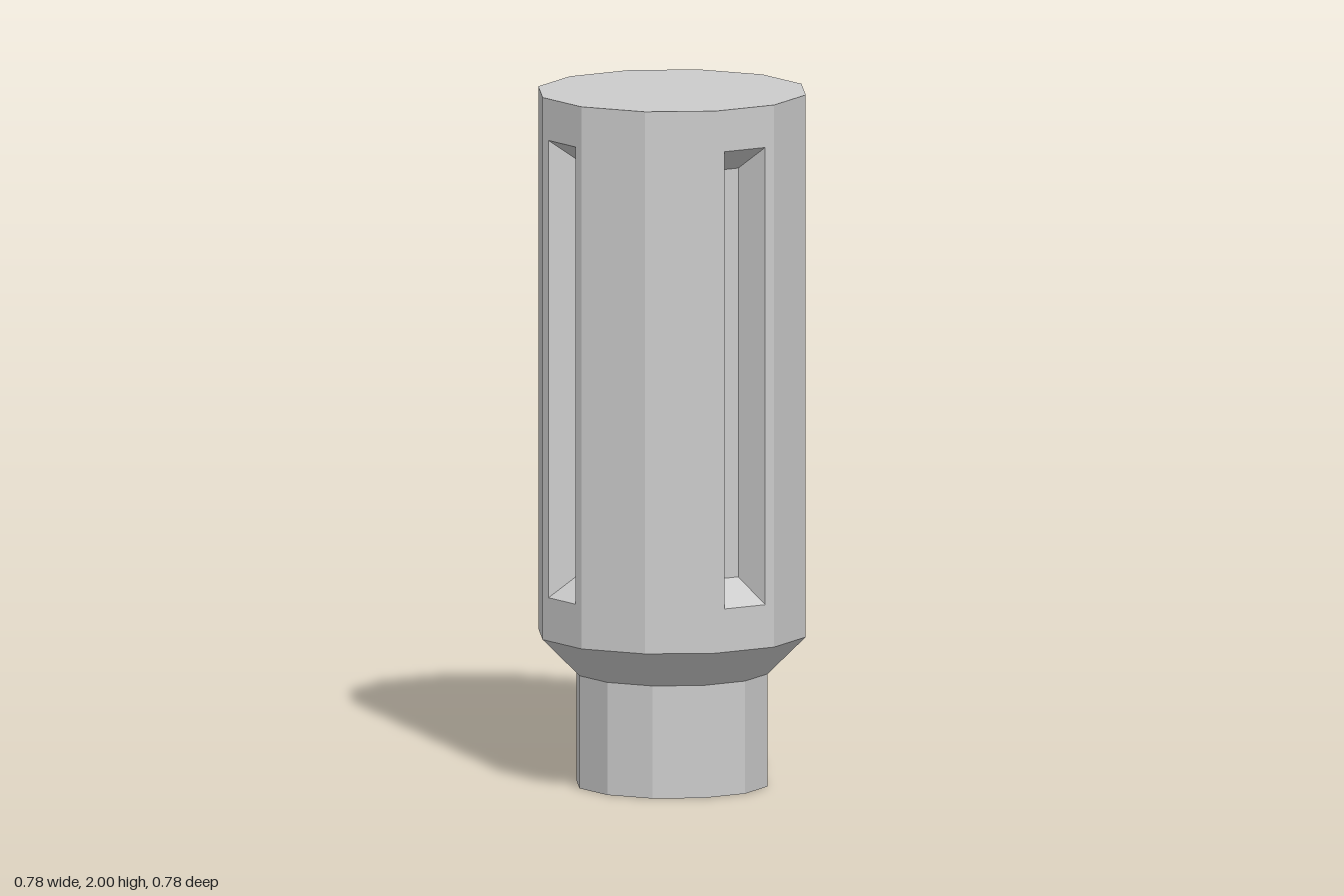
import * as THREE from 'three';

const SIDES = 12;
const R = 0.389, NECK_R = 0.278;
const NECK_TOP = 0.325, BODY_BOTTOM = 0.435, TOP = 2;
const APOTHEM = R * Math.cos(Math.PI / SIDES);
const HALF = R * Math.sin(Math.PI / SIDES);

// Slot: rectangle on the panel, narrowing to a smaller recessed floor
const OUTER = { w: 0.07, y0: 0.56, y1: 1.88, z: 0 };
const INNER = { w: 0.042, y0: 0.63, y1: 1.81, z: -0.097 };

const material = new THREE.MeshStandardMaterial({ color: 0xcccccc, flatShading: true });

function add(parent, name, geometry) {
  const mesh = new THREE.Mesh(geometry, material);
  mesh.name = name;
  parent.add(mesh);
  return mesh;
}

// Corners of a rectangle, counter-clockwise seen from outside
const corners = ({ w, y0, y1, z }) => [[-w, y0, z], [w, y0, z], [w, y1, z], [-w, y1, z]];

// Four sloping walls and the floor of a slot
function slotGeometry() {
  const o = corners(OUTER), n = corners(INNER), index = [4, 5, 6, 4, 6, 7];
  for (let i = 0; i < 4; i++) {
    const j = (i + 1) % 4;
    index.push(i, j, j + 4, i, j + 4, i + 4);
  }
  const g = new THREE.BufferGeometry();
  g.setAttribute('position', new THREE.Float32BufferAttribute([...o, ...n].flat(), 3));
  g.setIndex(index);
  const flat = g.toNonIndexed();
  flat.computeVertexNormals();
  return flat;
}

// One flat side of the body, with or without a slot opening
function panelGeometry(slotted) {
  const points = (c) => c.map(([x, y]) => new THREE.Vector2(x, y));
  const shape = new THREE.Shape(points(corners({ w: HALF, y0: BODY_BOTTOM, y1: TOP, z: 0 })));
  if (slotted) shape.holes.push(new THREE.Path(points(corners(OUTER)).reverse()));
  return new THREE.ShapeGeometry(shape);
}

export function createModel() {
  const model = new THREE.Group();
  model.name = 'slottedCylinder';

  // Narrow neck with closed underside
  const profile = [[0, 0], [NECK_R, 0], [NECK_R, NECK_TOP]].map(([x, y]) => new THREE.Vector2(x, y));
  add(model, 'neck', new THREE.LatheGeometry(profile, SIDES));

  // Flared collar between neck and body
  const collarHeight = BODY_BOTTOM - NECK_TOP;
  add(model, 'collar', new THREE.CylinderGeometry(R, NECK_R, collarHeight, SIDES, 1, true))
    .position.y = NECK_TOP + collarHeight / 2;

  // Body sides; the four diagonal ones carry a slot
  const body = new THREE.Group();
  body.name = 'body';
  model.add(body);
  for (let i = 0; i < SIDES; i++) {
    const side = new THREE.Group();
    const slotted = i % 3 === 1;
    side.name = slotted ? 'slottedSide' : 'plainSide';
    const a = ((i + 0.5) / SIDES) * Math.PI * 2;
    side.rotation.y = a;
    side.position.set(Math.sin(a) * APOTHEM, 0, Math.cos(a) * APOTHEM);
    add(side, 'panel', panelGeometry(slotted));
    if (slotted) add(side, 'slot', slotGeometry());
    body.add(side);
  }

  // Flat top
  const cap = add(model, 'topCap', new THREE.CircleGeometry(R, SIDES));
  cap.rotation.x = -Math.PI / 2;
  cap.position.y = TOP;

  return model;
}
